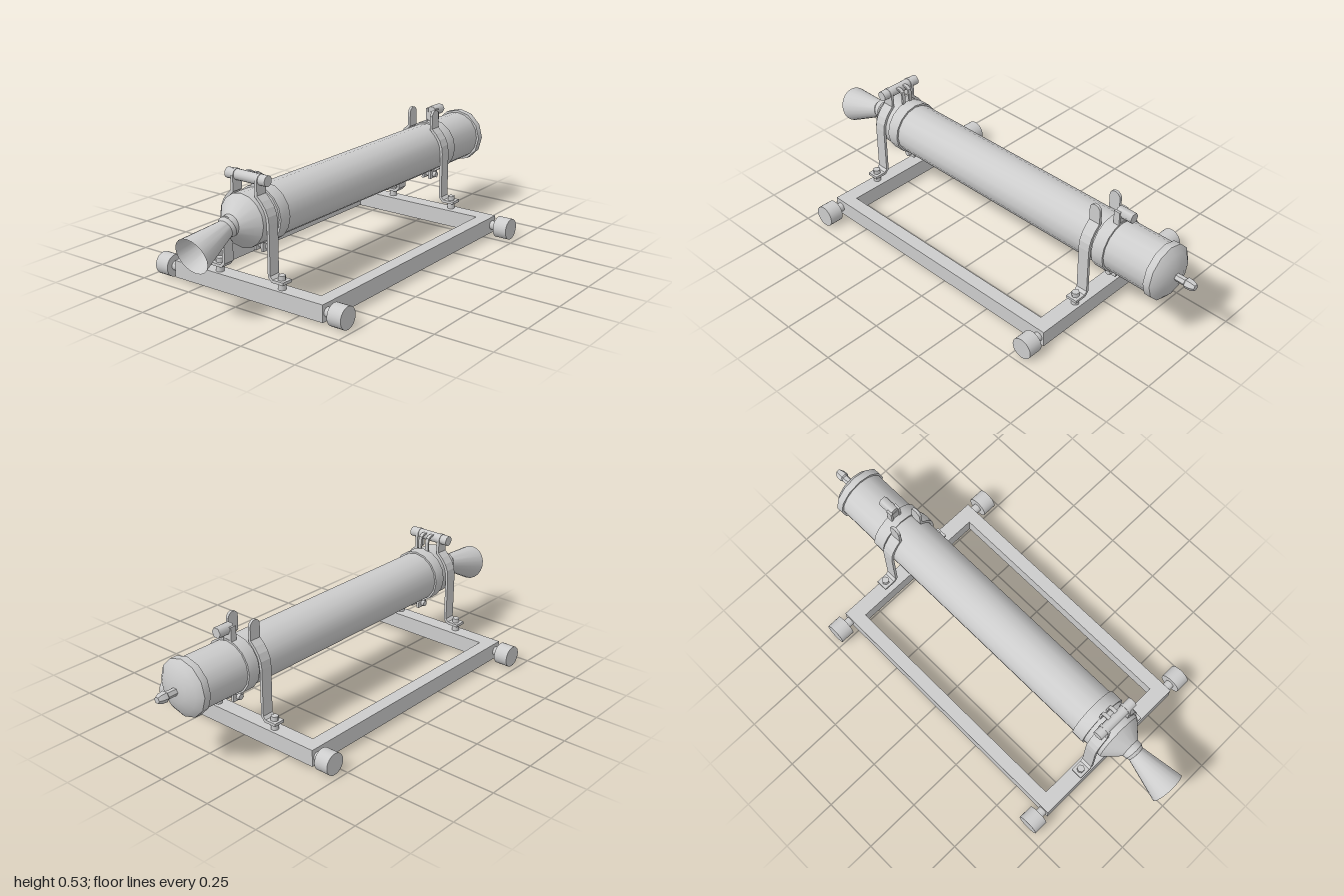
import * as THREE from 'three';
import { toCreasedNormals } from 'three/addons/utils/BufferGeometryUtils.js';

export function createModel() {
  const model = new THREE.Group();
  const metal = new THREE.MeshStandardMaterial({ color: 0xcccccc });
  metal.name = 'light grey metal';
  const metalOpen = new THREE.MeshStandardMaterial({ color: 0xcccccc, side: THREE.DoubleSide });
  metalOpen.name = 'light grey metal';
  const AXIS = 0.341, LEFT = -0.658, RIGHT = 0.544;

  function add(name, geo, x = 0, y = 0, z = 0, parent = model, mat = metal) {
    const mesh = new THREE.Mesh(geo, mat);
    mesh.name = name;
    mesh.position.set(x, y, z);
    parent.add(mesh);
    return mesh;
  }
  const box = (w, h, d) => new THREE.BoxGeometry(w, h, d);
  // Cylinder along the chosen axis
  function rod(r, length, axis = 'y', sides = 16) {
    const g = new THREE.CylinderGeometry(r, r, length, sides);
    if (axis === 'x') g.rotateZ(-Math.PI / 2);
    if (axis === 'z') g.rotateX(Math.PI / 2);
    return g;
  }
  // Turned part along +x from [x, radius] pairs
  function turned(points, sides = 16) {
    const g = new THREE.LatheGeometry(points.map(([x, r]) => new THREE.Vector2(r, x)), sides);
    return toCreasedNormals(g.rotateZ(-Math.PI / 2), 0.55);
  }
  // Bent flat bar: centre line in the (z, y) plane, extruded along x
  function ribbon(points, thickness, width) {
    const pts = points.map(p => new THREE.Vector2(...p));
    const normal = (a, b) => new THREE.Vector2(a.y - b.y, b.x - a.x).normalize();
    const side = s => pts.map((p, i) => {
      const n0 = normal(pts[Math.max(i - 1, 0)], pts[Math.max(i, 1)]);
      const n1 = normal(pts[Math.min(i, pts.length - 2)], pts[Math.min(i + 1, pts.length - 1)]);
      const n = n0.clone().add(n1).normalize();
      return p.clone().addScaledVector(n, s * thickness / 2 / n.dot(n0));
    });
    const shape = new THREE.Shape([...side(1), ...side(-1).reverse()]);
    const g = new THREE.ExtrudeGeometry(shape, { depth: width, bevelEnabled: false });
    return g.translate(0, 0, -width / 2);
  }

  // Rectangular base frame
  const rect = (Type, x, z) => new Type([[-x, -z], [x, -z], [x, z], [-x, z]].map(p => new THREE.Vector2(...p)));
  const outline = rect(THREE.Shape, 0.629, 0.38);
  outline.holes.push(rect(THREE.Path, 0.561, 0.322));
  add('baseFrame', new THREE.ExtrudeGeometry(outline, { depth: 0.073, bevelEnabled: false })
    .rotateX(-Math.PI / 2), -0.057, 0.013, -0.003);

  // Feet on short stubs at the four corners
  for (const x of [LEFT, RIGHT]) for (const s of [1, -1]) {
    add('footStub', rod(0.02, 0.05, 'z'), x, 0.049, s * 0.395);
    add('endRoller', rod(0.047, 0.064, 'z', 24), x, 0.049, s * 0.442);
  }

  // Main tube with shoulder
  add('tube', turned([[-0.785, 0], [-0.785, 0.042], [-0.765, 0.045], [-0.7, 0.11], [0.85, 0.11]]), 0, AXIS);
  // Domed end cap
  add('endCap', turned([[0.837, 0.1], [0.837, 0.121], [0.868, 0.121], [0.888, 0.095],
    [0.903, 0.05], [0.908, 0]], 12), 0, AXIS);
  // Small tip at the end
  add('tip', turned([[0.9, 0.016], [0.95, 0.017], [0.955, 0.023], [0.98, 0.021],
    [0.996, 0.014], [0.996, 0]], 6), 0, AXIS);

  // Tilted flared horn, open at its mouth
  const horn = new THREE.Group();
  horn.name = 'horn';
  horn.position.set(-0.785, 0.337, 0);
  horn.rotation.z = Math.PI + 0.29;
  model.add(horn);
  add('hornCollar', turned([[-0.025, 0], [-0.025, 0.04], [-0.005, 0.045], [0.012, 0.036], [0.012, 0]]), 0, 0, 0, horn);
  add('hornFlare', turned([[0.0, 0.035], [0.2, 0.077]], 20), 0, 0, 0, horn, metalOpen);

  // Clamp rings with bolted lugs underneath
  for (const x of [-0.58, 0.605]) {
    add('clampRing', turned([[-0.028, 0.108], [-0.028, 0.118], [0.028, 0.118], [0.028, 0.108]]), x, AXIS);
    for (const s of [1, -1]) add('clampLug', box(0.056, 0.048, 0.012), x, 0.214, s * 0.018);
    add('clampBolt', rod(0.013, 0.078, 'z', 8), x, 0.207, 0);
  }

  // Support straps: tab at the top, hug the tube, then down to a bolted foot
  const path = [[0.06, 0.505], [0.06, 0.445]];
  for (const a of [45, 60, 75, 90]) {
    const t = a * Math.PI / 180;
    path.push([0.117 * Math.sin(t), AXIS + 0.117 * Math.cos(t)]);
  }
  path.push([0.117, 0.135], [0.132, 0.119], [0.186, 0.119]);
  for (const x of [LEFT, RIGHT]) for (const s of [1, -1]) {
    const strap = new THREE.Group();
    strap.name = 'supportStrap';
    strap.position.x = x;
    if (s < 0) strap.rotation.y = Math.PI;
    model.add(strap);
    add('strapBar', ribbon(path, 0.012, 0.052).rotateY(-Math.PI / 2), 0, 0, 0, strap);
    add('strapTab', rod(0.026, 0.012, 'z'), 0, 0.504, 0.06, strap);
    add('strapSpacer', rod(0.0165, 0.03), 0, 0.1, 0.16, strap);
    add('strapNut', rod(0.0165, 0.02, 'y', 6), 0, 0.134, 0.16, strap);
  }

  // Cross pin through the left straps, with its curved hook plates
  add('crossPin', rod(0.022, 0.2, 'z'), LEFT, 0.506, 0);
  const hookPath = [[-0.655, 0.519], [-0.625, 0.519], [-0.611, 0.51], [-0.607, 0.49], [-0.607, 0.45]];
  for (const s of [1, -1]) add('hookPlate', ribbon(hookPath, 0.008, 0.016), 0, 0, s * 0.019);

  // Hexagonal peg on its stem above the right clamp
  add('peg', rod(0.023, 0.075, 'x', 6), 0.649, 0.503, 0);
  for (const s of [1, -1]) add('pegStemPlate', box(0.028, 0.065, 0.01), 0.62, 0.482, s * 0.021);
  add('pegStem', box(0.022, 0.05, 0.034), 0.62, 0.475, 0);

  return model;
}
